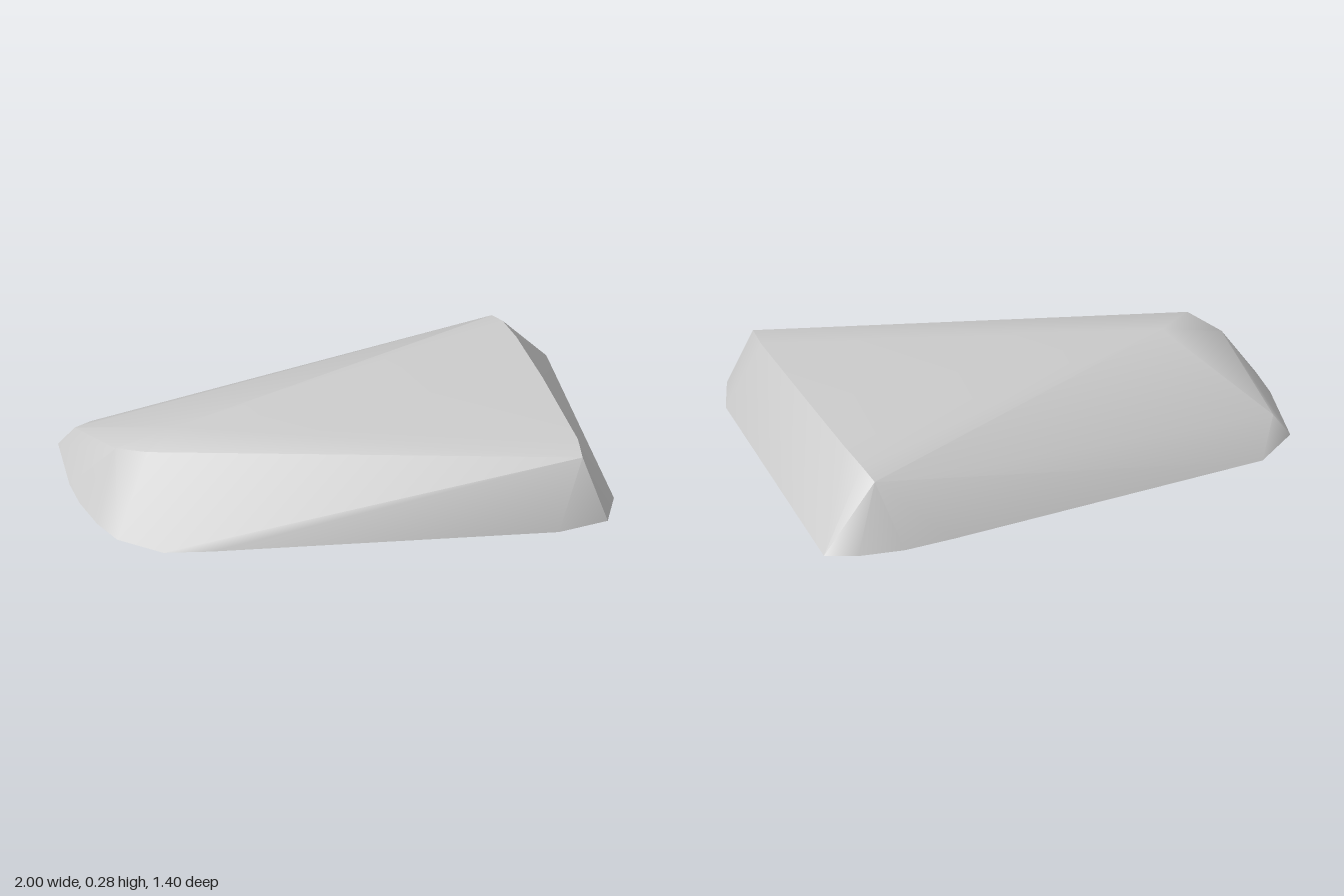
import * as THREE from 'three';
import { toCreasedNormals } from 'three/addons/utils/BufferGeometryUtils.js';
import { ConvexGeometry } from 'three/addons/geometries/ConvexGeometry.js';

// Flat footprint on the ground, as x, z
const footprint = [
  [-0.79, -0.60], [0.5, -0.696], [0.70, -0.705], [0.88, -0.68], [1, -0.63],
  [0.95, 0.5], [0.88, 0.665], [0.68, 0.70], [-0.62, 0.495], [-0.8, 0.455],
  [-0.94, 0.31], [-0.98, 0.17], [-1, 0], [-0.998, -0.15], [-0.955, -0.465],
];

// Raised points, as x, y, z
const crown = [
  [0.77, 0.24, -0.57], [0.787, 0.262, -0.48], [0.80, 0.27, -0.33], // right rim
  [0.81, 0.272, 0], [0.815, 0.262, 0.48], [0.80, 0.25, 0.60],
  [-0.62, 0.275, 0], // peak
  [-0.77, 0.25, 0.12], [-0.86, 0.215, 0], [-0.9, 0.08, -0.43], // sloping nose
];

export function createModel() {
  const stone = new THREE.MeshStandardMaterial({ color: 0xcccccc });
  stone.name = 'pale grey';

  // Faceted slab: soft slopes, sharp at the rim and the base
  const points = [
    ...footprint.map(([x, z]) => new THREE.Vector3(x, 0, z)),
    ...crown.map((p) => new THREE.Vector3(...p)),
  ];
  const slab = new THREE.Mesh(toCreasedNormals(new ConvexGeometry(points), 0.7), stone);
  slab.name = 'stoneSlab';

  const group = new THREE.Group();
  group.name = 'flatRock';
  group.add(slab);
  return group;
}
